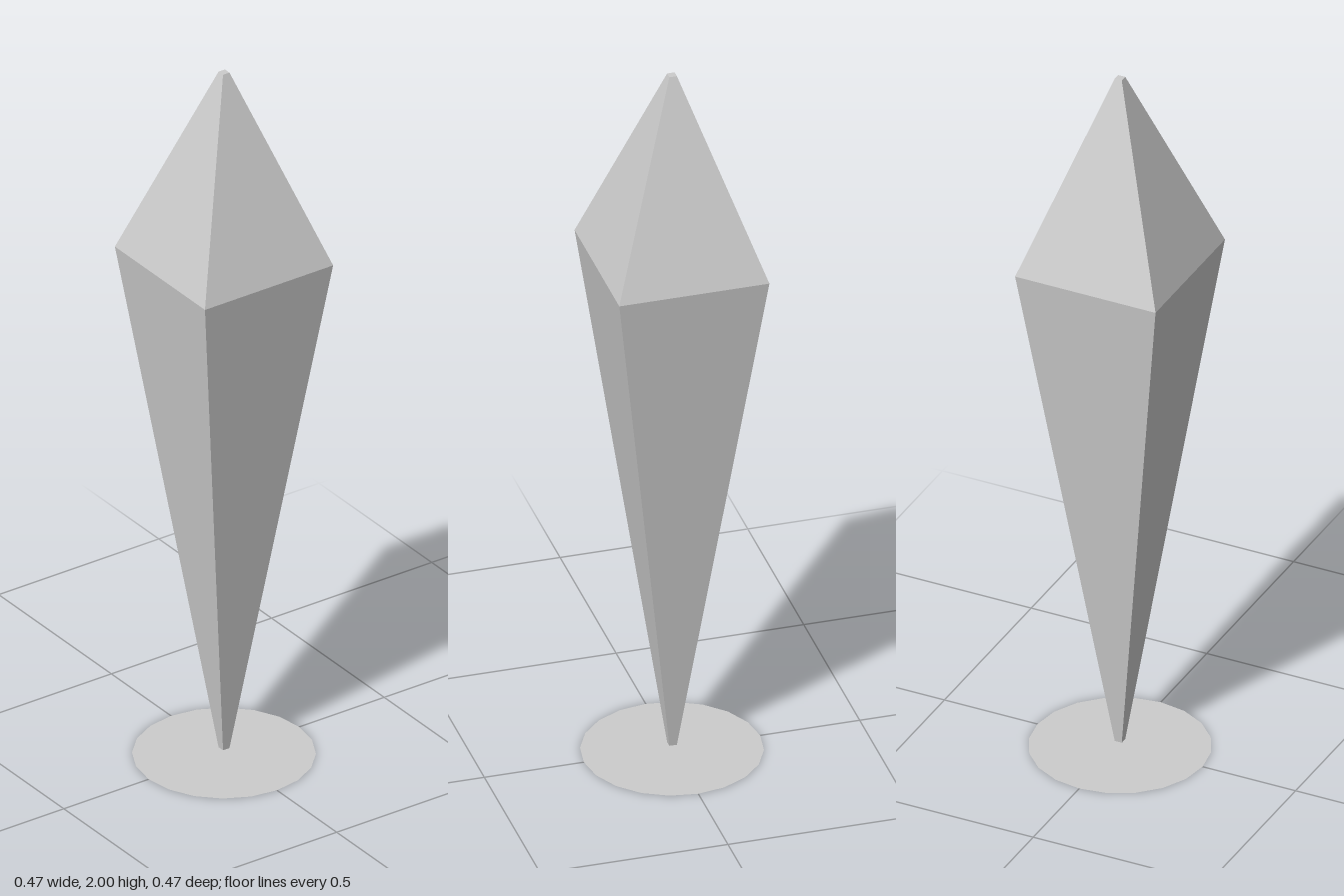
import * as THREE from 'three';

export function createModel() {
  const group = new THREE.Group();
  const stone = new THREE.MeshStandardMaterial({ color: 0xcccccc });
  stone.name = 'pale grey';
  stone.side = THREE.DoubleSide;

  // Four-sided crystal with blunt tips; the profile gives half-width and height
  const profile = [[0, 0.016], [0.01, 0.016], [0.2, 1.46], [0.01, 2], [0, 2]]
    .map(([half, y]) => new THREE.Vector2(half * Math.SQRT2, y));
  const facets = new THREE.LatheGeometry(profile, 4, Math.PI / 4).toNonIndexed();
  facets.computeVertexNormals(); // hard facets
  const crystal = new THREE.Mesh(facets, stone);
  crystal.name = 'crystal';
  group.add(crystal);

  // Thin flat disc on the ground beneath the lower tip
  const disc = new THREE.Mesh(new THREE.CircleGeometry(0.235, 20).rotateX(-Math.PI / 2), stone);
  disc.name = 'baseDisc';
  group.add(disc);

  return group;
}
